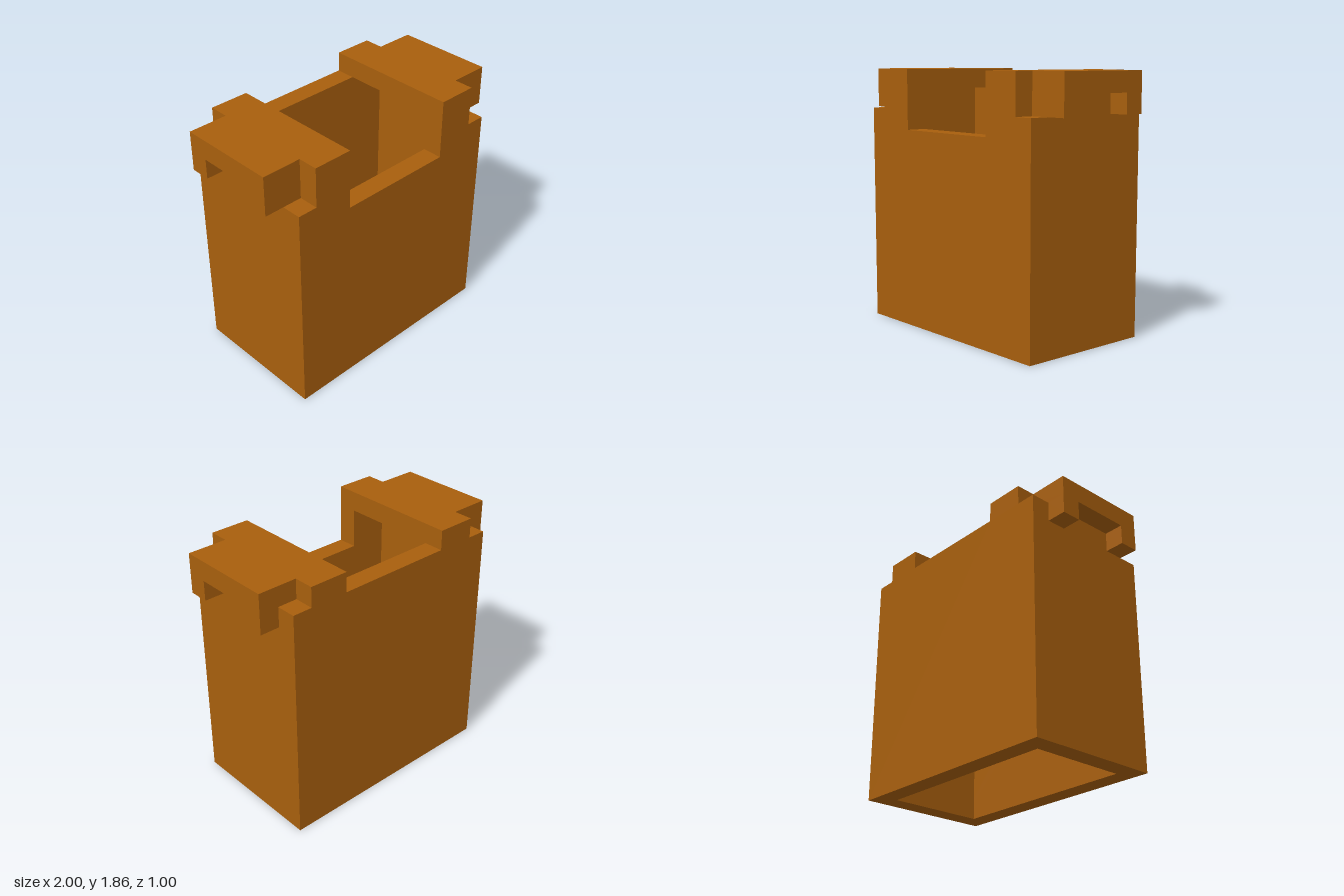
import * as THREE from 'three';

const U = 1 / 7; // grid unit: the model is 14 x 13 x 7 units

const material = new THREE.MeshStandardMaterial({ color: 0xa85f0d });
material.name = 'amberBrown';

// Extrude an outline (in grid units) along z between z0 and z1
function slab(name, points, z0, z1) {
  const shape = new THREE.Shape(points.map(([x, y]) => new THREE.Vector2(x * U, y * U)));
  const geometry = new THREE.ExtrudeGeometry(shape, { depth: (z1 - z0) * U, bevelEnabled: false });
  geometry.translate(0, 0, z0 * U);
  const mesh = new THREE.Mesh(geometry, material);
  mesh.name = name;
  return mesh;
}

// Torso plate with a neckline and lowered outer corners
function wallOutline(neckY, cornerY) {
  const half = [[6, 0], [6, cornerY], [5, cornerY], [5, 13], [3, 13], [3, neckY]];
  return [...half, ...half.map(([x, y]) => [-x, y]).reverse()];
}

export function createModel() {
  const group = new THREE.Group();
  group.name = 'chestArmour';

  group.add(slab('frontPlate', wallOutline(10, 11), 2.5, 3.5));
  group.add(slab('backPlate', wallOutline(12, 12), -3.5, -2.5));

  // Side walls carry the shoulder tops, which overhang inside and out
  const side = [[5, 0], [6, 0], [6, 12], [7, 12], [7, 13], [3, 13], [3, 12], [5, 12]];
  for (const s of [1, -1]) {
    const label = s > 0 ? 'left' : 'right';
    group.add(slab(label + 'SideAndShoulder', side.map(([x, y]) => [s * x, y]), -2.5, 2.5));

    // Short tabs hanging at both ends of the shoulder
    const tab = [[6, 11], [7, 11], [7, 12], [6, 12]].map(([x, y]) => [s * x, y]);
    group.add(slab(label + 'FrontShoulderTab', tab, 1.5, 2.5));
    group.add(slab(label + 'BackShoulderTab', tab, -2.5, -1.5));
  }
  return group;
}
